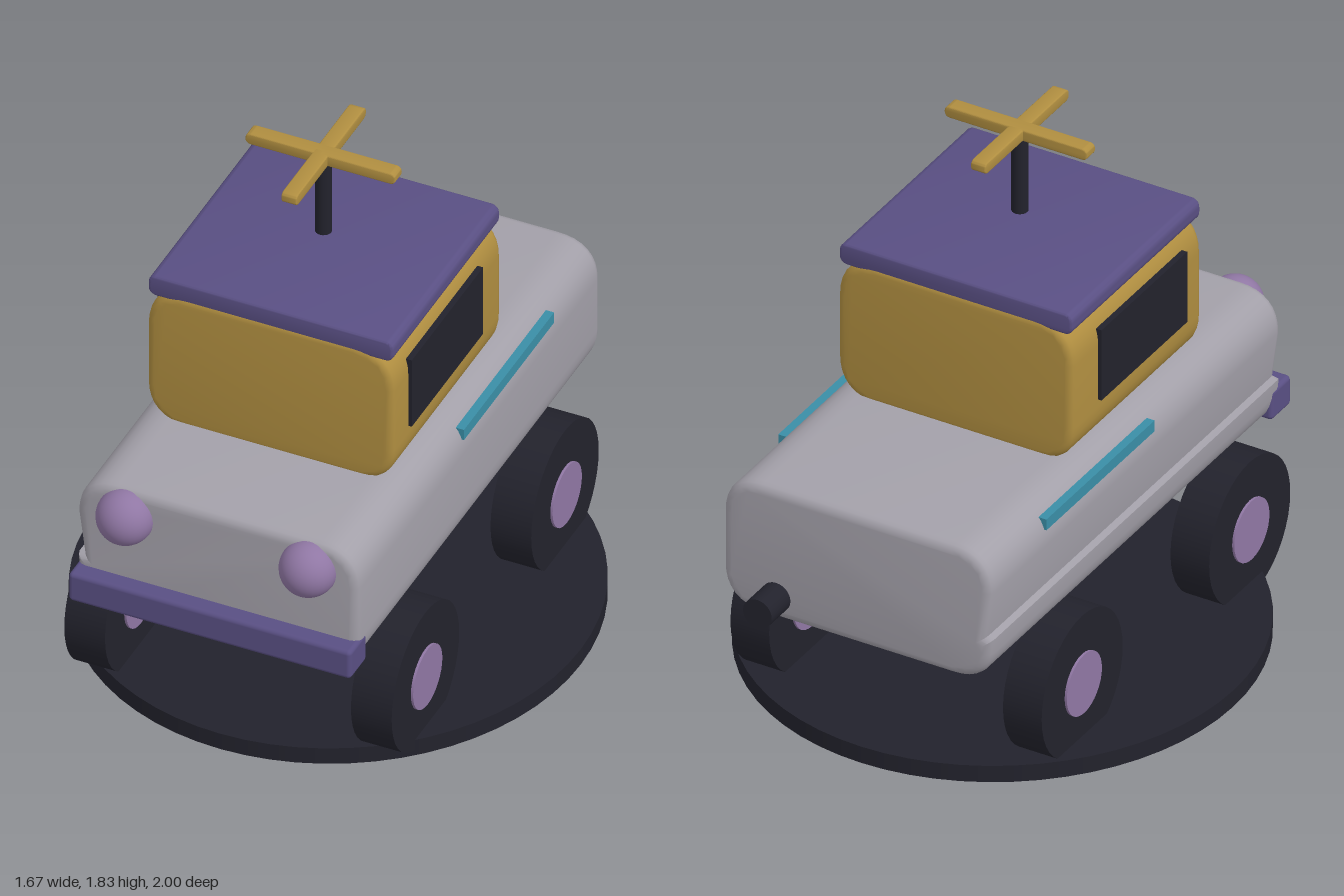
import * as THREE from 'three';
import { toCreasedNormals } from 'three/addons/utils/BufferGeometryUtils.js';
import { RoundedBoxGeometry } from 'three/addons/geometries/RoundedBoxGeometry.js';

function paint(name, color) {
  const m = new THREE.MeshStandardMaterial({ color });
  m.name = name;
  return m;
}

// Rounded rectangle centred on the origin; notch pinches the lower part of its -x side
function roundedRect(w, h, r, notch = 0) {
  const x = w / 2, y = h / 2, s = new THREE.Shape();
  s.moveTo(-x + r, -y);
  s.lineTo(x - r, -y);
  s.quadraticCurveTo(x, -y, x, -y + r);
  s.lineTo(x, y - r);
  s.quadraticCurveTo(x, y, x - r, y);
  s.lineTo(-x + r, y);
  s.quadraticCurveTo(-x, y, -x, y - r);
  if (notch) s.lineTo(-x + notch, -y + r + 0.005);
  s.lineTo(-x, -y + r);
  s.quadraticCurveTo(-x, -y, -x + r, -y);
  return s;
}

// Rounded bar along z with softened ends, all outer sizes
function roundedBar(w, h, d, r, bevel, notch = 0) {
  const g = new THREE.ExtrudeGeometry(
    roundedRect(w - 2 * bevel, h - 2 * bevel, r - bevel, notch),
    {
      depth: d - 2 * bevel, curveSegments: 8, bevelEnabled: bevel > 0,
      bevelSize: bevel, bevelThickness: bevel, bevelSegments: 3,
    });
  g.translate(0, 0, -d / 2 + bevel);
  return toCreasedNormals(g, 0.6);
}

export function createModel() {
  const model = new THREE.Group();
  model.name = 'toyCar';

  const grey = paint('bodyGrey', 0xa3a0a9);
  const gold = paint('cabinGold', 0xb08e40);
  const purple = paint('trimPurple', 0x594f83);
  const black = paint('rubberBlack', 0x22222c);
  const lilac = paint('lampLilac', 0x9077a4);
  const teal = paint('stripeTeal', 0x3a8ea6);

  function add(name, geometry, material, x, y, z, parent = model) {
    const mesh = new THREE.Mesh(geometry, material);
    mesh.name = name;
    mesh.position.set(x, y, z);
    parent.add(mesh);
    return mesh;
  }

  // Oval stand
  const stand = add('stand', new THREE.CylinderGeometry(1, 1, 0.06, 64), black, 0, 0.03, 0.013);
  stand.scale.set(0.835, 1, 0.868);

  // Body and cabin
  add('body', roundedBar(0.97, 0.476, 1.79, 0.14, 0.03, 0.025), grey, 0, 0.693, 0.01);
  add('cabin', roundedBar(0.85, 0.51, 0.797, 0.14, 0.025), gold, 0, 1.165, 0.118);
  add('roof', roundedBar(0.842, 0.075, 0.79, 0.03, 0.008), purple, 0, 1.433, 0.118);

  // Front bumper and exhaust
  add('bumper', new RoundedBoxGeometry(0.972, 0.108, 0.122, 3, 0.015), purple, 0, 0.537, 0.903);
  const exhaust = add('exhaust', new THREE.CylinderGeometry(0.052, 0.052, 0.2, 24), black, 0.29, 0.537, -0.9);
  exhaust.rotation.x = Math.PI / 2;

  // Parts repeated on both sides
  const tyre = new THREE.CylinderGeometry(0.249, 0.249, 0.14, 40).rotateZ(Math.PI / 2);
  const hub = new THREE.CylinderGeometry(0.108, 0.108, 0.156, 32).rotateZ(Math.PI / 2);
  const lamp = new THREE.SphereGeometry(0.094, 32, 20);
  for (const side of [1, -1]) {
    const label = side > 0 ? 'left' : 'right';
    add(label + 'Headlight', lamp, lilac, side * 0.315, 0.831, 0.906);
    add(label + 'Window', new THREE.BoxGeometry(0.03, 0.26, 0.527), black, side * 0.422, 1.208, 0.143);
    add(label + 'Stripe', new THREE.BoxGeometry(0.03, 0.04, 0.665), teal, side * 0.47, 0.865, -0.208);

    for (const [end, z] of [['Front', 0.576], ['Rear', -0.453]]) {
      const wheel = new THREE.Group();
      wheel.name = label + end + 'Wheel';
      wheel.position.set(side * 0.493, 0.257, z);
      model.add(wheel);
      add('tyre', tyre, black, 0, 0, 0, wheel);
      add('hub', hub, lilac, 0, 0, 0, wheel);
    }
  }

  // Rotor: mast with two crossed blades
  const rotor = new THREE.Group();
  rotor.name = 'rotor';
  rotor.position.set(0, 0, 0.12);
  model.add(rotor);
  add('mast', new THREE.CylinderGeometry(0.027, 0.027, 0.29, 20), black, 0, 1.655, 0, rotor);
  const blade = roundedBar(0.516, 0.04, 0.053, 0.02, 0.004);
  add('crossBlade', blade, gold, 0, 1.806, 0, rotor);
  add('longBlade', blade, gold, 0, 1.806, 0, rotor).rotation.y = Math.PI / 2;

  return model;
}
